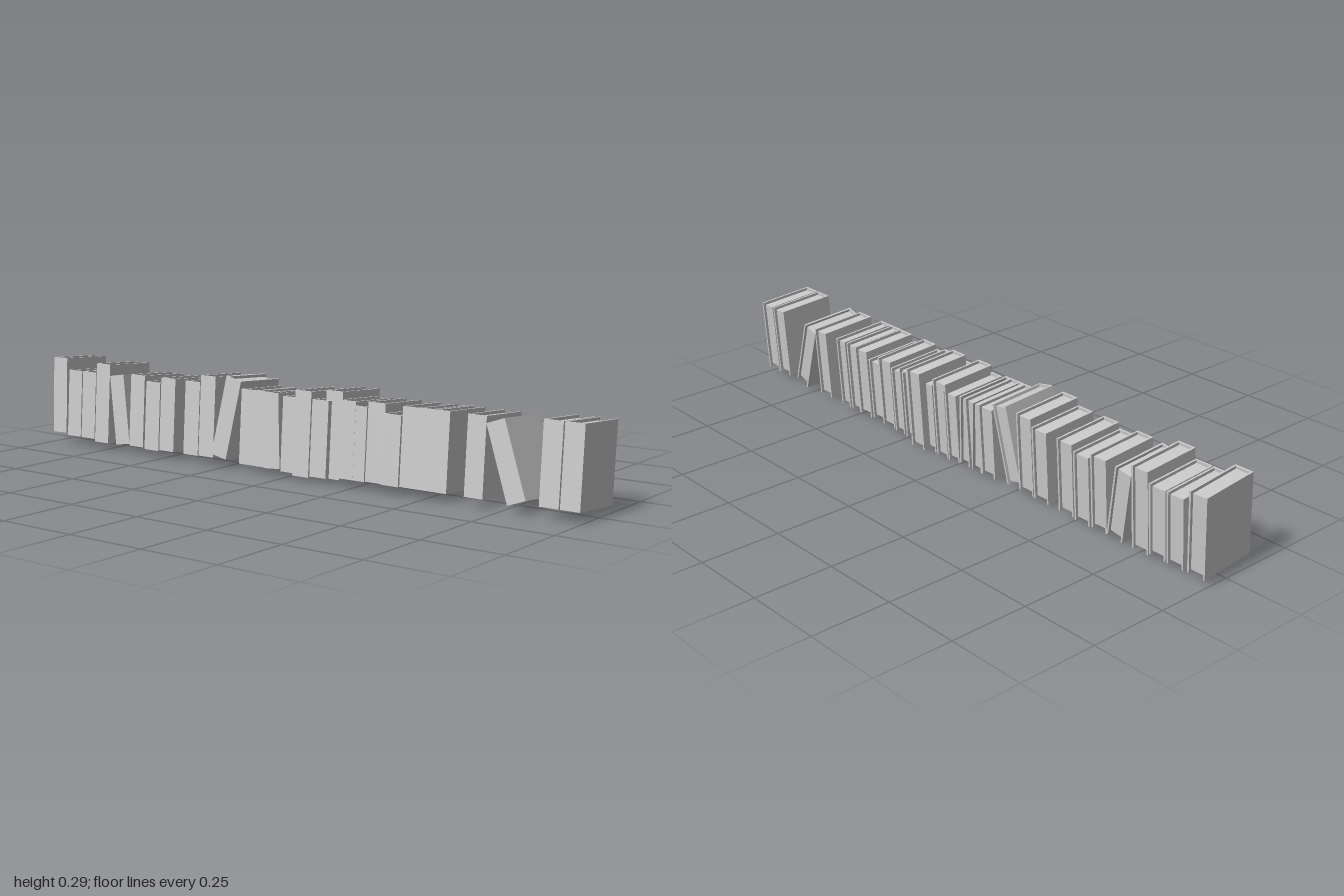
import * as THREE from 'three';

const W = 0.06, D = 0.19;          // book thickness and depth
const COVER = 0.006, INSET = 0.009; // board thickness, page recess
const PITCH = -0.068;               // whole row leans back slightly

// centre x, front top y, front bottom y, lean about z, z shift, yaw
const BOOKS = [
  [-0.968, 0.295, 0.042, 0.02, -0.006, 0.03],
  [-0.89, 0.258, 0.038],
  [-0.826, 0.258, 0.038],
  [-0.762, 0.29, 0.03],
  [-0.684, 0.263, 0.03, 0.16],
  [-0.607, 0.267, 0.034],
  [-0.54, 0.25, 0.03],
  [-0.475, 0.268, 0.034],
  [-0.372, 0.267, 0.034],
  [-0.308, 0.29, 0.036],
  [-0.23, 0.296, 0.036, -0.2],
  [-0.143, 0.262, 0.03],
  [-0.083, 0.262, 0.03],
  [-0.052, 0.262, 0.028, 0.07],
  [0.019, 0.255, 0.026],
  [0.065, 0.278, 0.019],
  [0.129, 0.256, 0.024],
  [0.168, 0.285, 0.022, 0, -0.017],
  [0.228, 0.264, 0.032],
  [0.268, 0.252, 0.032],
  [0.332, 0.268, 0.034],
  [0.392, 0.241, 0.034, 0, 0.008],
  [0.452, 0.267, 0.034],
  [0.51, 0.268, 0.034],
  [0.55, 0.268, 0.034],
  [0.668, 0.267, 0.034],
  [0.765, 0.267, 0.028, 0.345],
  [0.904, 0.277, 0.039],
  [0.968, 0.277, 0.039],
];
// the shifted volume among the middle books stands a touch forward
BOOKS[20][4] = 0; 

const material = new THREE.MeshStandardMaterial({ color: 0xcccccc, flatShading: true });

// Two boards joined by a spine at the front (+z): a U extruded upwards
function coverGeometry(h) {
  const x = W / 2, z = D / 2, t = COVER;
  const points = [
    [-x, -z], [x, -z], [x, z], [x - t, z],
    [x - t, -z + t], [-x + t, -z + t], [-x + t, z], [-x, z],
  ].map(([a, b]) => new THREE.Vector2(a, b));
  return new THREE.ExtrudeGeometry(new THREE.Shape(points), { depth: h, bevelEnabled: false })
    .rotateX(-Math.PI / 2)
    .translate(0, -h / 2, 0);
}

function createBook(h) {
  const book = new THREE.Group();
  const cover = new THREE.Mesh(coverGeometry(h), material);
  cover.name = 'cover';

  // page block, set back from the top, bottom and open edge
  const depth = D - COVER - INSET;
  const pages = new THREE.Mesh(
    new THREE.BoxGeometry(W - 2 * COVER, h - 2 * INSET, depth), material);
  pages.position.z = D / 2 - COVER - depth / 2;
  pages.name = 'pages';

  book.add(cover, pages);
  return book;
}

export function createModel() {
  const row = new THREE.Group();
  row.name = 'bookRow';
  BOOKS.forEach(([x, top, bottom, lean = 0, shift = 0, yaw = 0], i) => {
    const h = (top - bottom - W * Math.abs(Math.sin(lean))) / Math.cos(lean);
    const book = createBook(h);
    book.name = `book${i + 1}`;
    book.position.set(x, (top + bottom) / 2 - 0.0065, 0.005 + shift);
    book.rotation.set(PITCH, yaw, lean);
    row.add(book);
  });
  return row;
}
